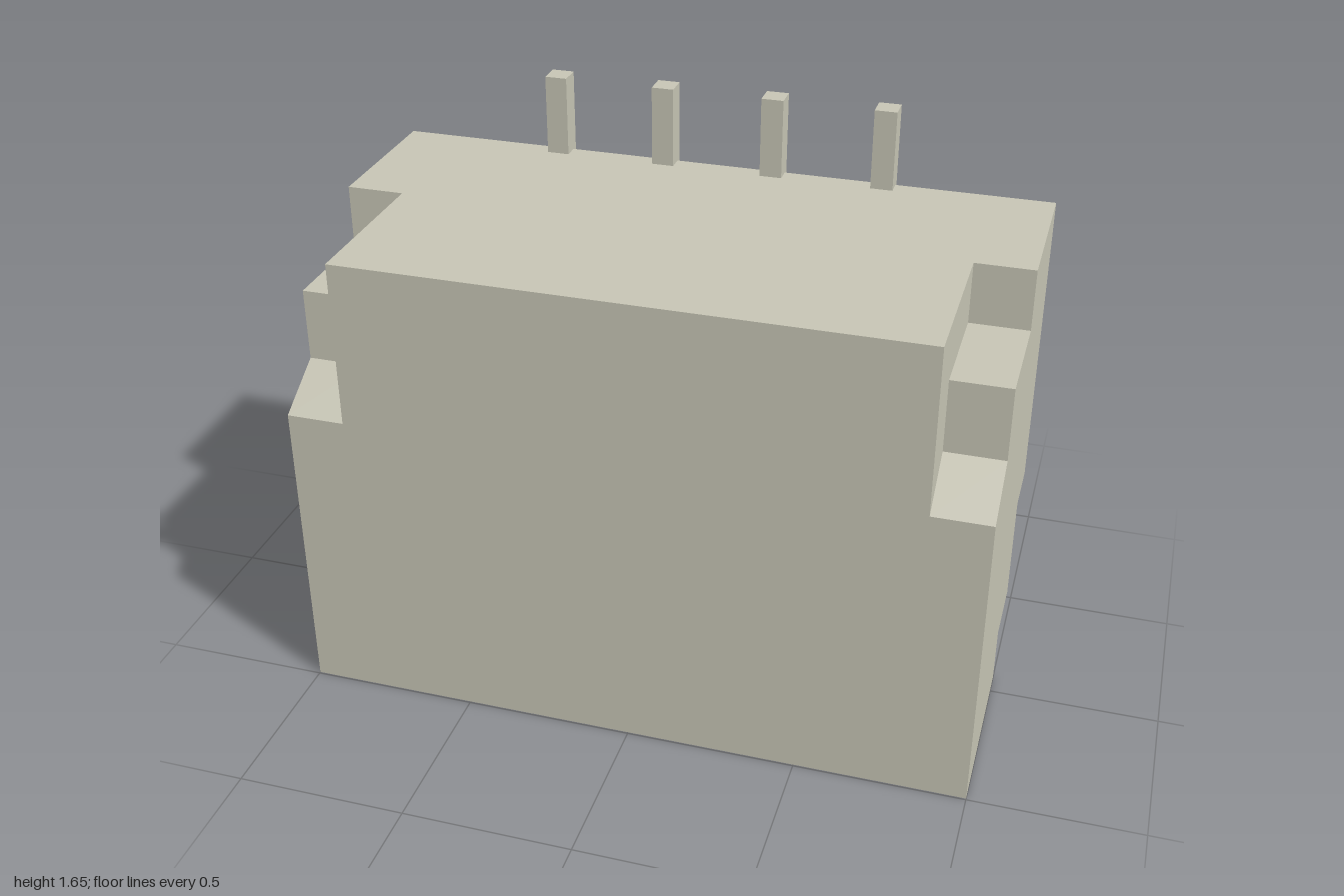
import * as THREE from 'three';

const FRONT = 0.495, BACK = -0.473, CEILING = 1.15;

export function createModel() {
  const model = new THREE.Group();
  model.name = 'pinHeader';
  const plastic = new THREE.MeshStandardMaterial({ color: 0xc6c4b4 });
  plastic.name = 'warmGrey';

  const add = (parent, name, geometry) => {
    const mesh = new THREE.Mesh(geometry, plastic);
    mesh.name = name;
    parent.add(mesh);
    return mesh;
  };
  const box = (parent, name, [x0, x1], [y0, y1], [z0, z1]) =>
    add(parent, name, new THREE.BoxGeometry(x1 - x0, y1 - y0, z1 - z0))
      .position.set((x0 + x1) / 2, (y0 + y1) / 2, (z0 + z1) / 2);

  // Half outline in (x, z), mirrored in x into a closed shape; shape y is -z
  const mirrored = (half, Type) => {
    const points = [...half, ...half.map(([x, z]) => [-x, z]).reverse()];
    return new Type(points.map(([x, z]) => new THREE.Vector2(x, -z)));
  };

  // Cavity with a keying slot in each end wall
  const cavity = [[0.74, 0.36], [0.74, 0.16], [0.87, 0.16], [0.87, 0],
    [0.74, 0], [0.74, -0.35]];

  // Housing: horizontal layers with corner cut-outs at the front and back
  const housing = new THREE.Group();
  housing.name = 'housing';
  model.add(housing);
  const layers = [
    { y0: 0, y1: 0.17, back: -0.07 },
    { y0: 0.17, y1: 0.5, back: -0.29 },
    { y0: 0.5, y1: 0.92 },
    { y0: 0.92, y1: CEILING, front: 0.33 },
    { y0: CEILING, y1: 1.235, front: 0.33 },
    { y0: 1.235, y1: 1.415, front: -0.005 },
  ];
  for (const { y0, y1, front, back } of layers) {
    const half = [
      ...(front === undefined ? [[1, FRONT]] : [[0.83, FRONT], [0.83, front], [1, front]]),
      ...(back === undefined ? [[1, BACK]] : [[1, back], [0.9, back], [0.9, BACK]]),
    ];
    const shape = mirrored(half, THREE.Shape);
    if (y1 <= CEILING) shape.holes.push(mirrored(cavity, THREE.Path));
    const geometry = new THREE.ExtrudeGeometry(shape, { depth: y1 - y0, bevelEnabled: false });
    geometry.rotateX(-Math.PI / 2).translate(0, y0, 0);
    add(housing, 'housingLayer', geometry);
  }

  // Sloped ledges below the front cut-outs
  const slope = new THREE.Shape([[0.33, 0.92], [FRONT, 0.92], [0.33, 1.02]]
    .map(([z, y]) => new THREE.Vector2(z, y)));
  for (const outer of [1, -0.83]) {
    const geometry = new THREE.ExtrudeGeometry(slope, { depth: 0.17, bevelEnabled: false });
    geometry.rotateY(-Math.PI / 2).translate(outer, 0, 0);
    add(housing, 'slopedLedge', geometry);
  }

  // Solder tabs at the lower back corners
  for (const x of [-0.867, 0.867]) {
    box(model, 'solderTab', [x - 0.033, x + 0.033], [0, 0.5], [-0.49, BACK + 0.01]);
  }

  // Four contacts: tails above the back edge, pins inside the cavity
  for (let i = 0; i < 4; i++) {
    const x = -0.5 + i / 3;
    const span = [x - 0.033, x + 0.033];
    box(model, 'contactTail', span, [1.385, 1.655], [-0.495, -0.427]);
    box(model, 'contactPin', span, [0.14, CEILING + 0.02], [-0.2, -0.133]);
  }
  return model;
}
